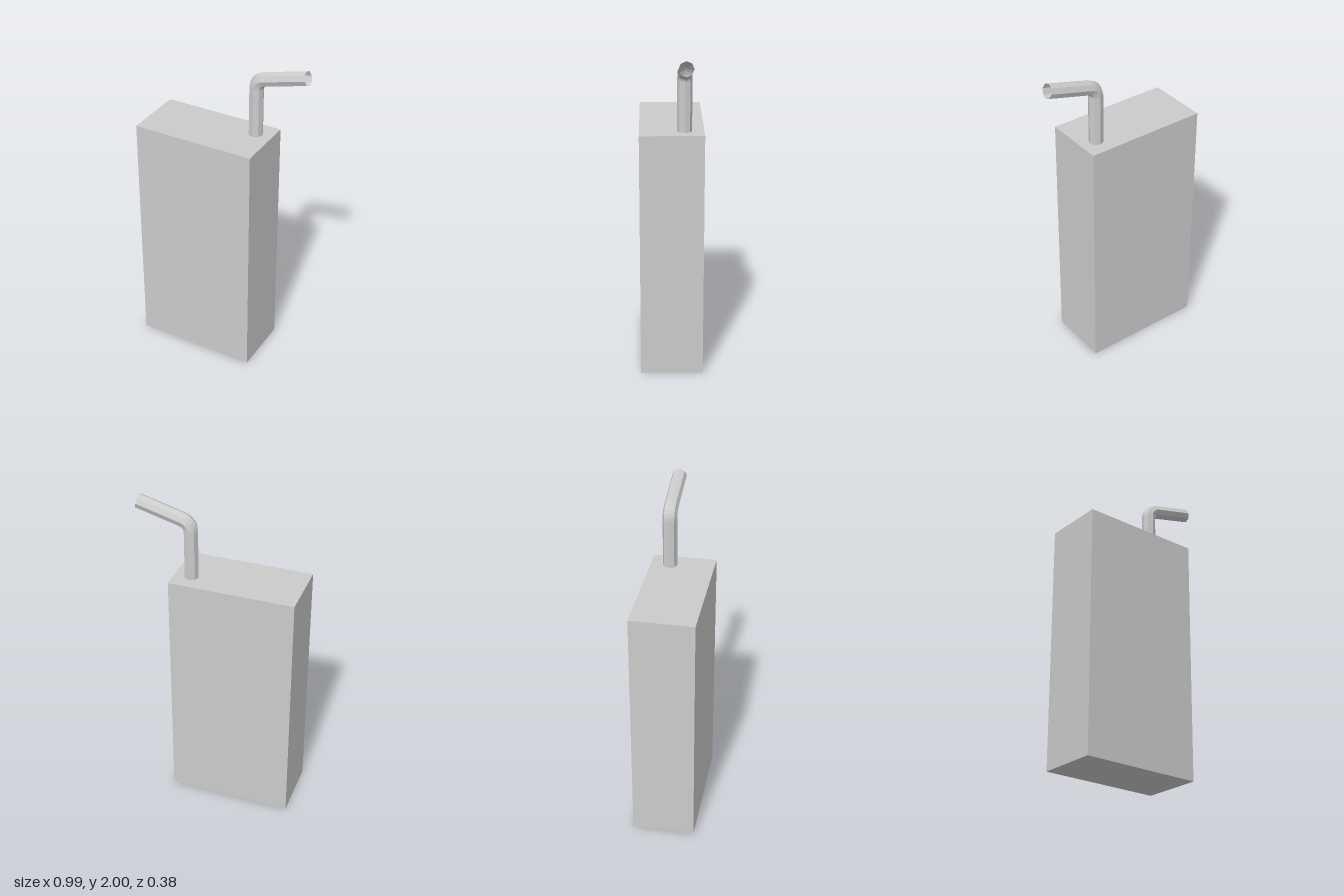
import * as THREE from 'three';

// Open eight-sided tube: stations are [x, y, angle leaned from vertical towards +x]
function bentTube(stations, radius, z) {
  const rows = stations.length - 1;
  const geo = new THREE.CylinderGeometry(radius, radius, 1, 8, rows, true);
  const p = geo.attributes.position;
  for (let i = 0; i < p.count; i++) {
    const [sx, sy, a] = stations[Math.round((p.getY(i) + 0.5) * rows)];
    const across = p.getX(i);
    p.setXYZ(i, sx + across * Math.cos(a), sy - across * Math.sin(a), z + p.getZ(i));
  }
  geo.computeVertexNormals();
  return geo;
}

export function createModel() {
  const group = new THREE.Group();

  // Carton body
  const carton = new THREE.Mesh(
    new THREE.BoxGeometry(0.76, 1.52, 0.38),
    new THREE.MeshStandardMaterial({ color: 0xcccccc, flatShading: true })
  );
  carton.name = 'carton';
  carton.position.set(-0.115, 0.76, 0);
  group.add(carton);

  // Straw path: upright stem, rounded elbow, then a rising mouthpiece
  const turn = THREE.MathUtils.degToRad(75);
  const x0 = 0.162, bendY = 1.82, bendR = 0.068, steps = 6;
  const stations = [[x0, 1.52, 0]];
  for (let i = 0; i <= steps; i++) {
    const a = (turn * i) / steps;
    stations.push([x0 + bendR * (1 - Math.cos(a)), bendY + bendR * Math.sin(a), a]);
  }
  stations.push([0.48, 1.958, turn]);

  const straw = new THREE.Mesh(
    bentTube(stations, 0.0435, -0.075),
    new THREE.MeshStandardMaterial({ color: 0xcccccc, flatShading: true, side: THREE.DoubleSide })
  );
  straw.name = 'straw';
  group.add(straw);

  return group;
}
